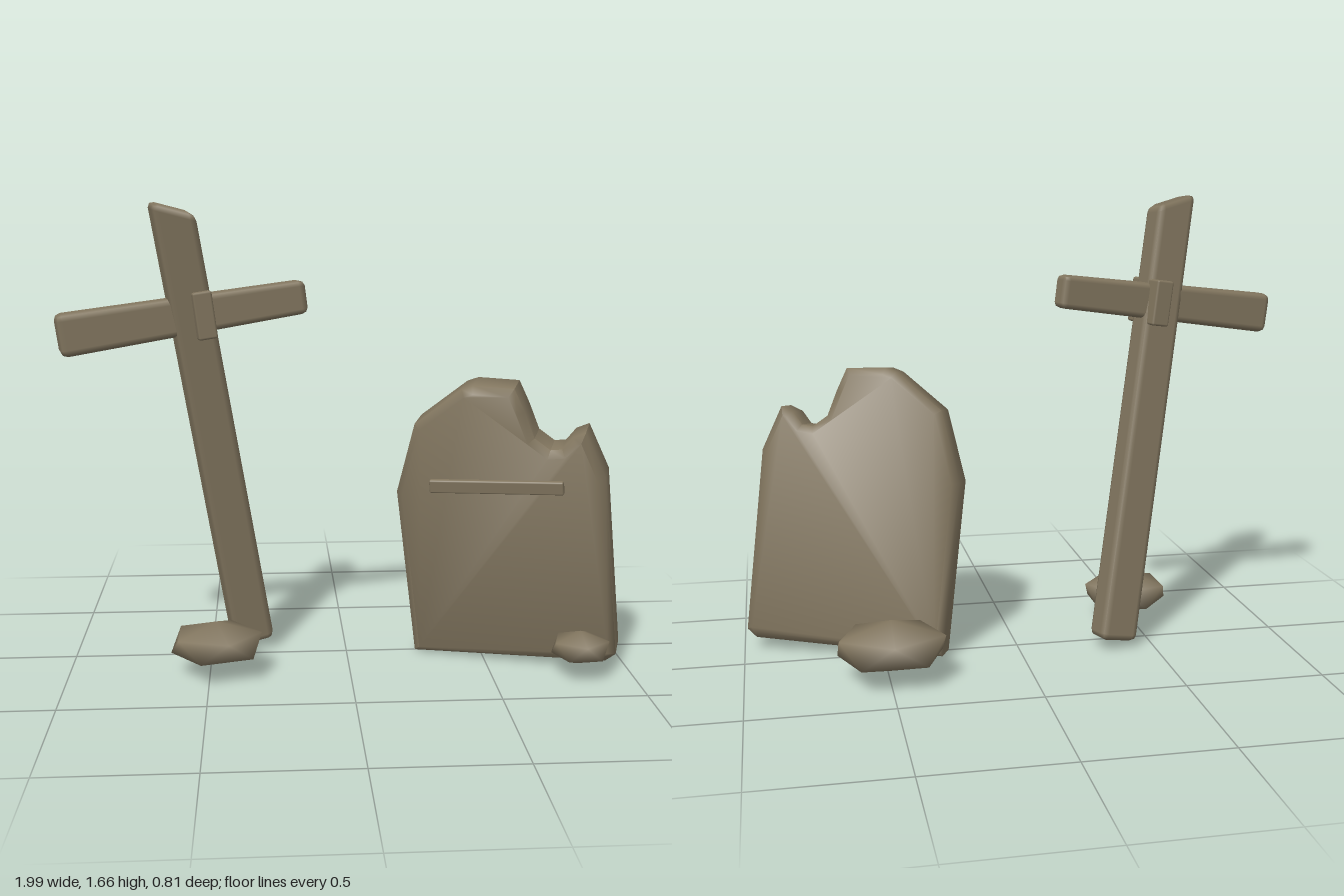
import * as THREE from 'three';
import { mergeVertices, toCreasedNormals } from 'three/addons/utils/BufferGeometryUtils.js';
import { RoundedBoxGeometry } from 'three/addons/geometries/RoundedBoxGeometry.js';

const V = (x, y, z) => new THREE.Vector3(x, y, z);

export function createModel() {
  const group = new THREE.Group();
  const stone = new THREE.MeshStandardMaterial({ color: 0x82765f });
  stone.name = 'weathered stone';

  const add = (name, geometry, parent = group) => {
    const mesh = new THREE.Mesh(geometry, stone);
    mesh.name = name;
    parent.add(mesh);
    return mesh;
  };

  // Chamfered beam running between two points; taper is the section scale at the far end,
  // slant cuts the far end at an angle
  const beam = (name, from, to, hint, w, d, radius, taper = 1, slant = 0) => {
    const dir = to.clone().sub(from);
    const len = dir.length();
    dir.normalize();
    const geo = new RoundedBoxGeometry(w, len, d, 1, radius);
    const p = geo.attributes.position;
    for (let i = 0; i < p.count; i++) {
      const y = p.getY(i);
      const s = THREE.MathUtils.lerp(1, taper, y / len + 0.5);
      p.setXYZ(i, p.getX(i) * s, y > 0 ? y - slant * p.getX(i) : y, p.getZ(i) * s);
    }
    const mesh = add(name, geo);
    const zAxis = hint.clone().cross(dir).normalize();
    const xAxis = dir.clone().cross(zAxis);
    mesh.quaternion.setFromRotationMatrix(new THREE.Matrix4().makeBasis(xAxis, dir, zAxis));
    mesh.position.copy(from).add(to).multiplyScalar(0.5);
    return mesh;
  };

  // Leaning cross: post, crossbar and the band lashing them together
  beam('crossPost', V(-0.35, 0.035, -0.08), V(-0.605, 1.645, 0.122), V(0.97, 0, -0.23),
    0.15, 0.115, 0.025, 0.97, 0.45);
  const barStart = V(-0.995, 1.215, 0.178), barEnd = V(-0.148, 1.33, -0.02);
  beam('crossbar', barStart, barEnd, V(0, 1, 0), 0.148, 0.1, 0.024, 0.8);
  const along = barEnd.clone().sub(barStart).normalize().multiplyScalar(0.034);
  const centre = V(-0.515, 1.278, 0.064);
  beam('crossBand', centre.clone().sub(along), centre.clone().add(along), V(0, 1, 0),
    0.165, 0.19, 0.008);

  // Broken headstone, leaning forward
  const headstone = new THREE.Group();
  headstone.name = 'headstone';
  headstone.position.set(0.61, 0, 0.07);
  headstone.rotation.set(0.14, -0.35, 0, 'YXZ');
  group.add(headstone);

  const outline = [
    [-0.354, 0.012], [0.35, 0.045], [0.386, 0.075], [0.335, 0.745], [0.265, 0.905], [0.22, 0.885],
    [0.185, 0.84], [0.145, 0.835], [0.09, 0.875], [0.055, 0.97], [0.02, 1.05], [-0.125, 1.055],
    [-0.165, 1.04], [-0.335, 0.905], [-0.406, 0.645],
  ].map(([x, y]) => new THREE.Vector2(x, y));
  const bevel = 0.025, thickness = 0.16;
  const slab = new THREE.ExtrudeGeometry(new THREE.Shape(outline), {
    depth: thickness - 2 * bevel, bevelEnabled: true, bevelSegments: 1,
    bevelSize: bevel, bevelThickness: bevel, bevelOffset: -bevel,
  });
  slab.translate(0, 0, -thickness / 2 + bevel);
  add('headstoneSlab', toCreasedNormals(slab, 0.9), headstone);

  // Raised strip across the face
  const strip = add('headstoneStrip', new RoundedBoxGeometry(0.475, 0.048, 0.036, 1, 0.006), headstone);
  strip.position.set(-0.04, 0.698, thickness / 2);
  strip.rotation.z = 0.05;

  // Smooth low-poly rocks around the bases
  const rock = (name, pos, size, yaw) => {
    let geo = new THREE.IcosahedronGeometry(1, 0);
    geo.deleteAttribute('normal');
    geo.deleteAttribute('uv');
    geo = mergeVertices(geo);
    geo.rotateX(-Math.atan((1 + Math.sqrt(5)) / 2)); // one corner straight up
    geo.rotateY(yaw);
    geo.scale(...size);
    geo.computeVertexNormals();
    add(name, geo).position.set(...pos);
  };
  rock('crossRock', [-0.475, 0.122, 0.205], [0.18, 0.078, 0.16], Math.PI / 2);
  rock('backRock', [0.493, 0.132, -0.252], [0.218, 0.093, 0.172], Math.PI);
  rock('frontRock', [0.81, 0.112, 0.305], [0.113, 0.06, 0.108], 1.3);

  return group;
}
